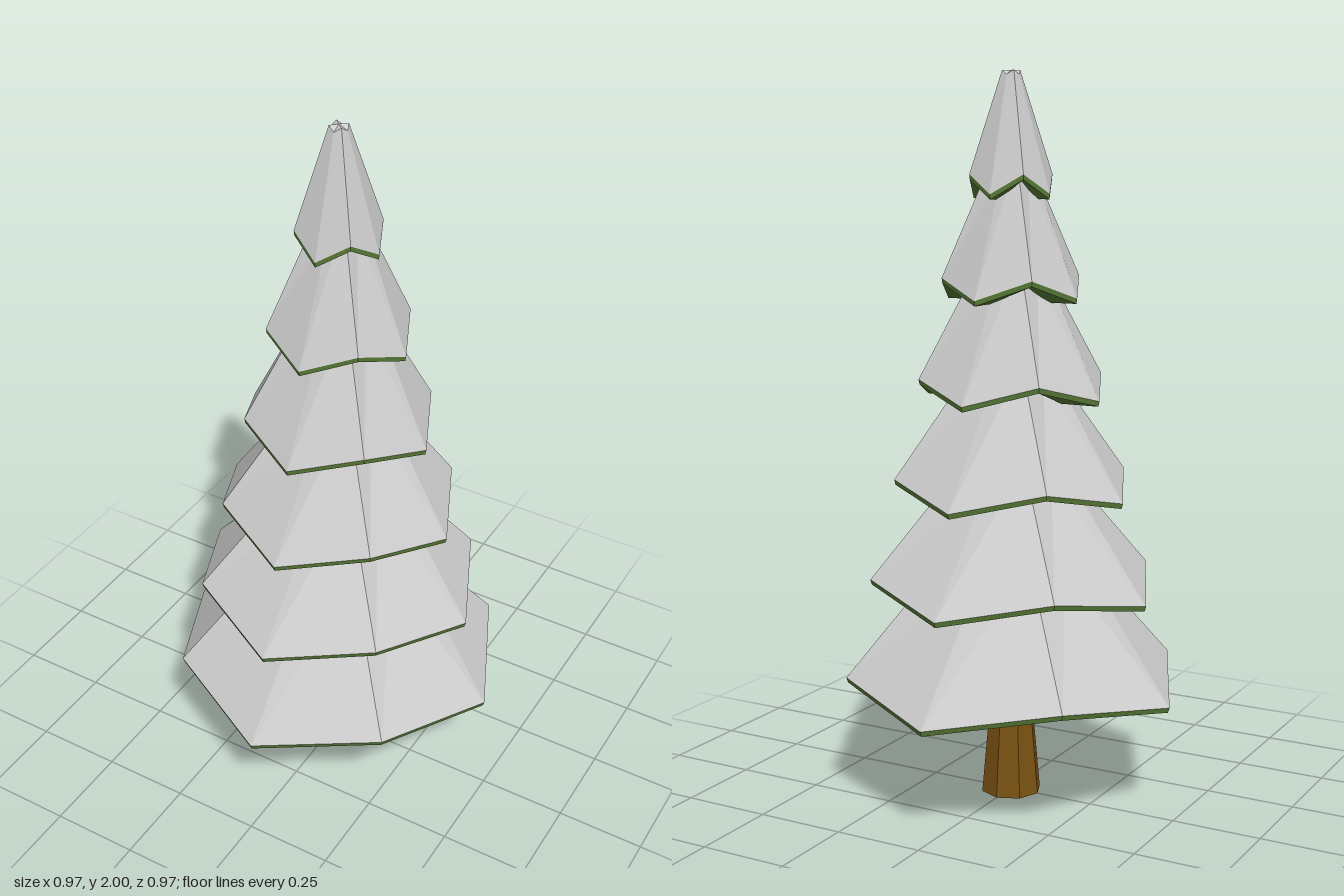
import * as THREE from 'three';

const SIDES = 8;

// Eight-sided ring: even corners lie on the axes, odd (diagonal) corners are raised by lift.
function ring(r, y, lift = 0, diagonal = 1) {
  return Array.from({ length: SIDES }, (_, i) => {
    const a = (i / SIDES) * Math.PI * 2;
    const odd = i % 2;
    const k = odd ? r * diagonal : r;
    return [Math.sin(a) * k, y + odd * lift, Math.cos(a) * k];
  });
}

// Skins a stack of rings with flat faces; a ring of radius 0 closes an end.
function loft(rings) {
  const pos = [];
  const isPoint = (r) => Math.hypot(r[0][0], r[0][2]) < 1e-6;
  for (let j = 0; j < rings.length - 1; j++) {
    const lo = rings[j], hi = rings[j + 1];
    for (let i = 0; i < SIDES; i++) {
      const n = (i + 1) % SIDES;
      if (!isPoint(lo)) pos.push(...lo[i], ...lo[n], ...hi[n]);
      if (!isPoint(hi)) pos.push(...lo[i], ...hi[n], ...hi[i]);
      else if (!isPoint(lo)) continue;
    }
  }
  const g = new THREE.BufferGeometry();
  g.setAttribute('position', new THREE.Float32BufferAttribute(pos, 3));
  g.computeVertexNormals();
  return g;
}

export function createModel() {
  const tree = new THREE.Group();
  tree.name = 'snowyFirTree';

  const make = (color) => new THREE.MeshStandardMaterial({ color, flatShading: true });
  const snowMat = make(0xcccccc);
  const greenMat = make(0x5a7d38);
  const barkMat = make(0x7a5212);

  const add = (parent, name, rings, material) => {
    const mesh = new THREE.Mesh(loft(rings), material);
    mesh.name = name;
    parent.add(mesh);
  };

  // Trunk: waisted, flaring at the foot and under the branches
  add(tree, 'trunk', [
    ring(0, 0), ring(0.085, 0), ring(0.066, 0.21), ring(0.078, 0.37), ring(0, 0.37),
  ], barkMat);

  // Tiers: [rim radius, rim height, top radius, top height, top lift]
  const tiers = [
    [0.485, 0.302, 0.17, 0.66, 0.05],
    [0.412, 0.573, 0.125, 0.91, 0.05],
    [0.340, 0.846, 0.10, 1.18, 0.05],
    [0.268, 1.117, 0.08, 1.46, 0.05],
    [0.200, 1.388, 0.052, 1.73, 0.04],
    [0.117, 1.662, 0.025, 1.988, 0.012],
  ];

  tiers.forEach(([r, y, topR, topY, topLift], k) => {
    const tier = new THREE.Group();
    tier.name = 'tier' + (k + 1);
    const lift = 0.052, band = 0.014;
    const diagonal = k === 5 ? 0.99 : 0.968;
    const edge = ring(r, y + band, lift, diagonal);

    // Green underside and thin rim
    add(tier, 'branches', [
      ring(0, y + 0.055),
      ring(r * 0.58, y, lift, diagonal),
      ring(r * 0.99, y, lift, diagonal),
      edge,
    ], greenMat);

    // Snow slope with a small cap
    add(tier, 'snow', [
      edge, ring(topR, topY, topLift), ring(0, topY + topLift),
    ], snowMat);
    tree.add(tier);
  });

  return tree;
}
